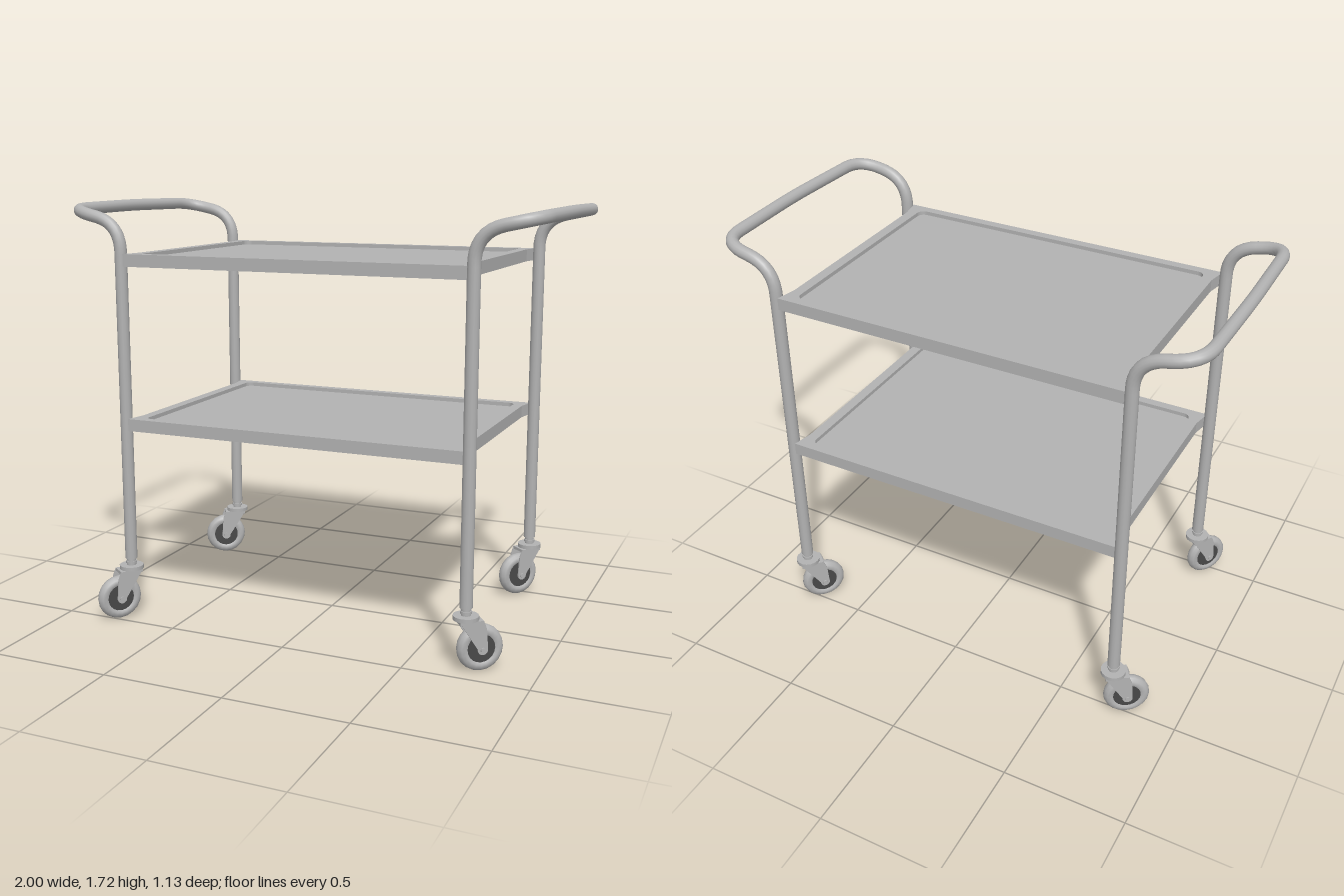
import * as THREE from 'three';
import { toCreasedNormals } from 'three/addons/utils/BufferGeometryUtils.js';

const steel = new THREE.MeshStandardMaterial({ color: 0xb2b2b2 });
steel.name = 'steelGrey';
const dark = new THREE.MeshStandardMaterial({ color: 0x484848 });
dark.name = 'darkHub';

const Z_MID = -0.042, LEG_X = 0.732, LEG_Z = 0.475, TUBE_R = 0.025;

function add(parent, name, geometry, material, x = 0, y = 0, z = 0) {
  const mesh = new THREE.Mesh(geometry, material);
  mesh.name = name;
  mesh.position.set(x, y, z);
  parent.add(mesh);
  return mesh;
}

// Path through corner points [x, y, z, bend], each corner rounded by its bend length
function roundedPath(corners) {
  const path = new THREE.CurvePath();
  const p = corners.map(c => new THREE.Vector3(c[0], c[1], c[2]));
  let from = p[0];
  for (let i = 1; i < p.length - 1; i++) {
    const bend = corners[i][3];
    const a = p[i].clone().add(p[i - 1].clone().sub(p[i]).setLength(bend));
    const b = p[i].clone().add(p[i + 1].clone().sub(p[i]).setLength(bend));
    path.add(new THREE.LineCurve3(from, a));
    path.add(new THREE.QuadraticBezierCurve3(a, p[i], b));
    from = b;
  }
  path.add(new THREE.LineCurve3(from, p[p.length - 1]));
  return path;
}

// Two legs and the push handle bent from a single tube
function makeFrame(side) {
  const path = roundedPath([
    [side * LEG_X, 0.255, LEG_Z],
    [side * LEG_X, 1.645, LEG_Z, 0.115],
    [side * 0.965, 1.695, LEG_Z, 0.115],
    [side * 0.975, 1.7, 0, 0.1],
    [side * 0.965, 1.695, -LEG_Z, 0.115],
    [side * LEG_X, 1.645, -LEG_Z, 0.115],
    [side * LEG_X, 0.255, -LEG_Z],
  ]);
  return new THREE.TubeGeometry(path, 160, TUBE_R, 14, false);
}

// Tray outline with the corners reaching out to the legs
function trayShape() {
  const s = new THREE.Shape();
  const x = 0.695, c = 0.712, z = 0.495, n = 0.41;
  const points = [[-c, -z], [c, -z], [x, -n], [x, n], [c, z], [-c, z], [-x, n], [-x, -n]];
  s.setFromPoints(points.map(q => new THREE.Vector2(...q)));
  return s;
}

function roundedRect(w, h, r) {
  const s = new THREE.Path();
  s.moveTo(-w + r, -h);
  s.lineTo(w - r, -h);
  s.absarc(w - r, -h + r, r, -Math.PI / 2, 0);
  s.lineTo(w, h - r);
  s.absarc(w - r, h - r, r, 0, Math.PI / 2);
  s.lineTo(-w + r, h);
  s.absarc(-w + r, h - r, r, Math.PI / 2, Math.PI);
  s.lineTo(-w, -h + r);
  s.absarc(-w + r, -h + r, r, Math.PI, Math.PI * 1.5);
  return s;
}

function slab(shape, depth) {
  return new THREE.ExtrudeGeometry(shape, { depth, bevelEnabled: false, curveSegments: 6 }).rotateX(-Math.PI / 2);
}

function makeTray(name, y) {
  const tray = new THREE.Group();
  tray.name = name;
  tray.position.set(0, y, Z_MID);
  // Raised rim around the recessed floor
  const rim = trayShape();
  rim.holes.push(roundedRect(0.652, 0.457, 0.03));
  add(tray, 'rim', slab(rim, 0.02), steel, 0, 0.03);
  add(tray, 'floor', new THREE.BoxGeometry(1.35, 0.006, 0.96), steel, 0, 0.031);
  // Hollow underside with a downturned skirt and a cross rib
  const skirt = trayShape();
  skirt.holes.push(roundedRect(0.683, 0.483, 0.01));
  add(tray, 'skirt', slab(skirt, 0.03), steel);
  add(tray, 'crossRib', new THREE.BoxGeometry(0.022, 0.012, 0.965), steel, 0, 0.024);
  return tray;
}

const tyreProfile = [
  [0.056, -0.02], [0.066, -0.025], [0.08, -0.022], [0.09, -0.012], [0.093, 0],
  [0.09, 0.012], [0.08, 0.022], [0.066, 0.025], [0.056, 0.02], [0.056, -0.02],
].map(q => new THREE.Vector2(...q));
const tyreGeometry = toCreasedNormals(new THREE.LatheGeometry(tyreProfile, 20).rotateX(Math.PI / 2), 0.7);

// Fork cheek tapering from the swivel plate down to the axle
const cheek = new THREE.Shape();
cheek.moveTo(-0.035, 0.207);
cheek.lineTo(0.038, 0.095);
cheek.absarc(0.058, 0.093, 0.02, Math.PI, Math.PI * 2);
cheek.lineTo(0.072, 0.175);
cheek.lineTo(0.06, 0.207);
const cheekGeometry = new THREE.ExtrudeGeometry(cheek, { depth: 0.006, bevelEnabled: false, curveSegments: 8 });

function makeCaster(x, z, dx, dz) {
  const caster = new THREE.Group();
  caster.name = 'caster';
  caster.position.set(x, 0, z);
  caster.rotation.y = Math.atan2(-dz, dx);
  add(caster, 'stem', new THREE.CylinderGeometry(0.019, 0.019, 0.06, 14), steel, 0, 0.24);
  add(caster, 'stemCollar', new THREE.CylinderGeometry(0.023, 0.023, 0.01, 14), steel, 0, 0.238);
  add(caster, 'swivelPlate', new THREE.CylinderGeometry(0.05, 0.05, 0.016, 16), steel, 0, 0.217);
  add(caster, 'forkCrown', new THREE.BoxGeometry(0.094, 0.012, 0.072), steel, 0.0125, 0.203);
  for (const side of [-1, 1]) {
    add(caster, 'forkCheek', cheekGeometry, steel, 0, 0, side * 0.033 - 0.003);
  }
  const axle = new THREE.CylinderGeometry(0.01, 0.01, 0.084, 10).rotateX(Math.PI / 2);
  add(caster, 'axle', axle, steel, 0.058, 0.093);
  add(caster, 'tyre', tyreGeometry, steel, 0.058, 0.093);
  const hub = new THREE.CylinderGeometry(0.058, 0.058, 0.036, 20).rotateX(Math.PI / 2);
  add(caster, 'wheelHub', hub, dark, 0.058, 0.093);
  return caster;
}

export function createModel() {
  const cart = new THREE.Group();
  cart.name = 'trolley';
  for (const side of [-1, 1]) {
    add(cart, side > 0 ? 'leftFrame' : 'rightFrame', makeFrame(side), steel, 0, 0, Z_MID);
    // Caps closing the lower tube ends
    for (const end of [-1, 1]) {
      const cap = new THREE.CylinderGeometry(TUBE_R, TUBE_R, 0.006, 14);
      add(cart, 'legCap', cap, steel, side * LEG_X, 0.257, Z_MID + end * LEG_Z);
    }
  }
  cart.add(makeTray('upperTray', 1.475), makeTray('lowerTray', 0.805));
  // Each caster is swivelled its own way
  const front = Z_MID + LEG_Z, back = Z_MID - LEG_Z;
  cart.add(
    makeCaster(-LEG_X, front, -0.6, 0.8),
    makeCaster(-LEG_X, back, -0.84, 0.54),
    makeCaster(LEG_X, front, 0.78, -0.62),
    makeCaster(LEG_X, back, -0.65, 0.76),
  );
  return cart;
}
